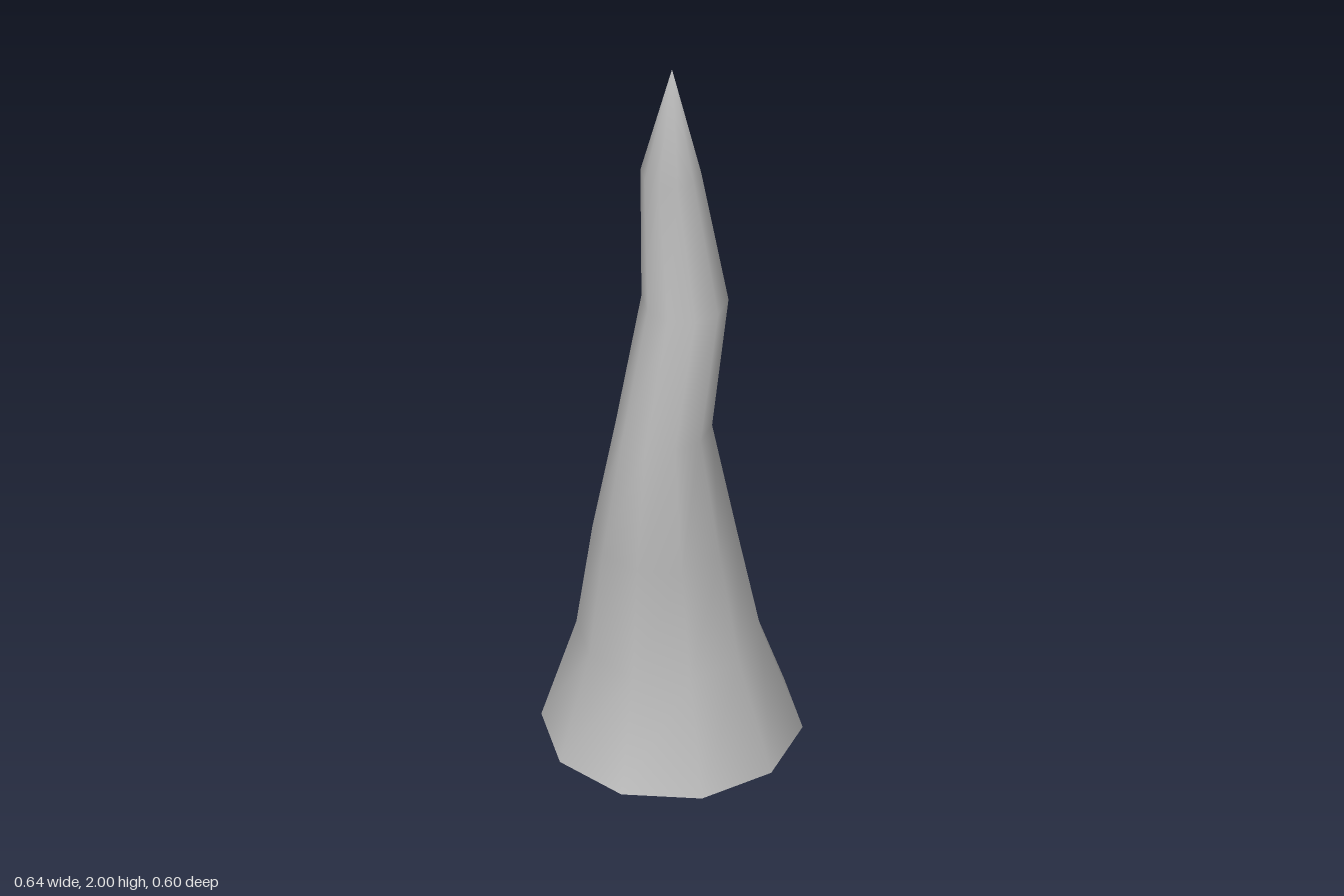
import * as THREE from 'three';
import { mergeVertices } from 'three/addons/utils/BufferGeometryUtils.js';

// Spine of the spike from base to tip: height, centre x, centre z, radius
const RINGS = [
  [0, 0, 0, 0.318],
  [0.27, -0.023, -0.015, 0.225],
  [0.6, 0.001, 0.027, 0.177],
  [0.95, 0.015, 0.047, 0.117],
  [1.295, 0.02, -0.025, 0.106],
  [1.65, -0.034, -0.035, 0.074],
  [2, 0, 0, 0],
];
const SIDES = 10;

// Open ten-sided tube whose rings are scaled and shifted along the spine
function createSpikeGeometry() {
  const steps = RINGS.length - 1;
  const tube = new THREE.CylinderGeometry(1, 1, steps, SIDES, steps, true, Math.PI / 2);
  const pos = tube.attributes.position;
  for (let i = 0; i < pos.count; i++) {
    const [y, cx, cz, r] = RINGS[Math.round(pos.getY(i) + steps / 2)];
    pos.setXYZ(i, cx + pos.getX(i) * r, y, cz + pos.getZ(i) * r);
  }
  // Weld the seam and the tip so the shading is smooth all round
  tube.deleteAttribute('uv');
  tube.deleteAttribute('normal');
  const welded = mergeVertices(tube);
  welded.computeVertexNormals();
  return welded;
}

export function createModel() {
  const group = new THREE.Group();
  group.name = 'crookedSpike';

  const stone = new THREE.MeshStandardMaterial({ color: 0xb8b8b8, side: THREE.DoubleSide });
  stone.name = 'stone grey';

  const spike = new THREE.Mesh(createSpikeGeometry(), stone);
  spike.name = 'spike';
  group.add(spike);
  return group;
}
